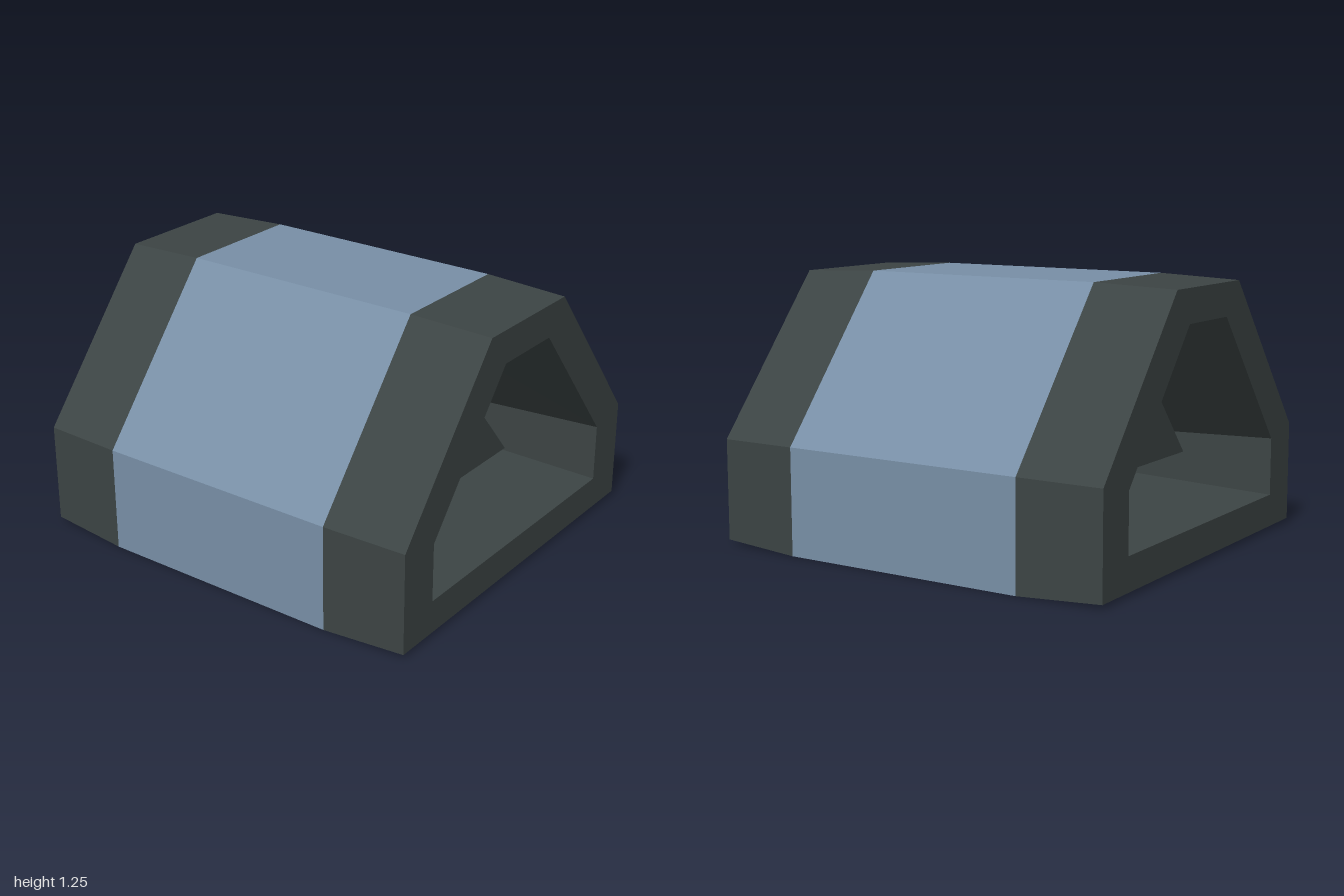
import * as THREE from 'three';

const dark = new THREE.MeshStandardMaterial({ name: 'darkCasing', color: 0x3c4444 });
const blue = new THREE.MeshStandardMaterial({ name: 'blueShell', color: 0x788fa6 });
const grey = new THREE.MeshStandardMaterial({ name: 'lightGreyPanel', color: 0xaeb2b0 });

// Symmetric six-sided outline, counter-clockwise; edge 0 is the underside
function outline(half, bottom, shoulder, topHalf, top) {
  return [[-half, bottom], [half, bottom], [half, shoulder], [topHalf, top], [-topHalf, top], [-half, shoulder]];
}

// Symmetric trapezoid outline for the nearly triangular block
function wedge(half, bottom, topHalf, top) {
  return [[-half, bottom], [half, bottom], [topHalf, top], [-topHalf, top]];
}

// Flat-faced walls between sections [outline, z]; rising z faces outward, falling z faces inward
function loft(sections, edges) {
  const positions = [];
  for (let s = 0; s < sections.length - 1; s++) {
    const [a, za] = sections[s];
    const [b, zb] = sections[s + 1];
    for (const i of edges ?? a.keys()) {
      const j = (i + 1) % a.length;
      const p = [...a[i], za], q = [...a[j], za], r = [...b[j], zb], t = [...b[i], zb];
      positions.push(...p, ...q, ...r, ...p, ...r, ...t);
    }
  }
  const geometry = new THREE.BufferGeometry();
  geometry.setAttribute('position', new THREE.Float32BufferAttribute(positions, 3));
  geometry.computeVertexNormals();
  return geometry;
}

// Flat face at depth z, with an optional opening
function face(points, z, hole) {
  const toVectors = (list) => list.map(([x, y]) => new THREE.Vector2(x, y));
  const shape = new THREE.Shape(toVectors(points));
  if (hole) shape.holes.push(new THREE.Path(toVectors(hole)));
  return new THREE.ShapeGeometry(shape).translate(0, 0, z);
}

function add(group, name, geometry, material) {
  const mesh = new THREE.Mesh(geometry, material);
  mesh.name = name;
  group.add(mesh);
}

const body = outline(0.93, 0, 0.5, 0.31, 1.25);
const rim = outline(0.91, 0.02, 0.495, 0.3, 1.235);
const opening = outline(0.7, 0.175, 0.45, 0.18, 1.08);
const throat = outline(0.637, 0.22, 0.437, 0.145, 1.035);
const panel = outline(0.628, 0.226, 0.433, 0.138, 1.027);
const blockBase = wedge(0.425, 0.385, 0.03, 0.87);
const blockMid = wedge(0.415, 0.39, 0.028, 0.86);
const blockFront = wedge(0.29, 0.425, 0.012, 0.752);

// One end: tapered collar, deep recess, panel and protruding block
function createEnd(name) {
  const end = new THREE.Group();
  end.name = name;
  add(end, 'collar', loft([[body, 0.6], [rim, 1]]), dark);
  add(end, 'rimFace', face(rim, 1, opening), dark);
  add(end, 'recessWalls', loft([[opening, 1], [throat, 0.2], [panel, 0.1]]), dark);
  add(end, 'recessPanel', face(panel, 0.1), grey);
  add(end, 'blockSides', loft([[blockBase, 0.1], [blockMid, 0.2], [blockFront, 0.74]]), dark);
  add(end, 'blockFace', face(blockFront, 0.74), dark);
  return end;
}

export function createModel() {
  const model = new THREE.Group();
  model.name = 'tunnelModule';

  // Middle shell with a dark underside
  const middle = [[body, -0.6], [body, 0.6]];
  add(model, 'middleShell', loft(middle, [1, 2, 3, 4, 5]), blue);
  add(model, 'underside', loft(middle, [0]), dark);

  // Matching ends
  const front = createEnd('frontEnd');
  const back = createEnd('backEnd');
  back.rotation.y = Math.PI;
  model.add(front, back);
  return model;
}
